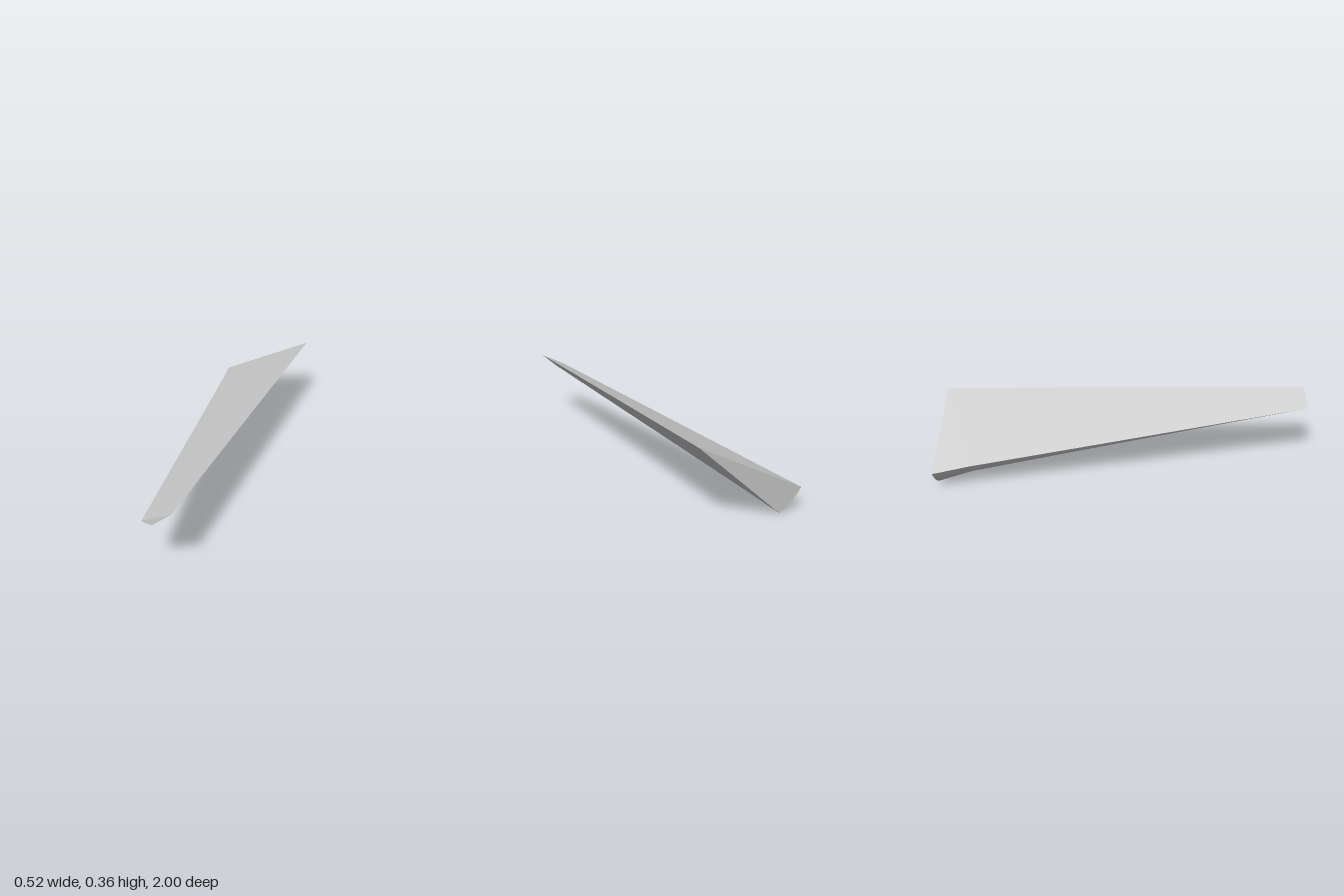
import * as THREE from 'three';
import { toCreasedNormals } from 'three/addons/utils/BufferGeometryUtils.js';

const RIDGE = [0.261, 0.364]; // sharp straight edge shared by every section
const STEPS = 8;

// Cross-sections: z, upper corner, bulge control point, lower corner
const SECTIONS = [
  [-1, [-0.262, 0.103], [-0.224, 0.044], [-0.15, 0]],
  [-0.82, [-0.221, 0.124], [-0.188, 0.07], [-0.107, 0.039]],
  [1, [0.122, 0.295], [0.138, 0.285], [0.172, 0.286]],
];

// Closed ring, counter-clockwise seen from +z: ridge, then the rounded outer edge
function ring([z, upper, control, lower]) {
  const curve = new THREE.QuadraticBezierCurve(
    new THREE.Vector2(...upper), new THREE.Vector2(...control), new THREE.Vector2(...lower));
  return [new THREE.Vector2(...RIDGE), ...curve.getPoints(STEPS)].map(p => [p.x, p.y, z]);
}

function loftGeometry(rings) {
  const positions = [];
  const tri = (a, b, c) => positions.push(...a, ...b, ...c);
  const n = rings[0].length;

  // Skin between neighbouring sections
  for (let i = 0; i < rings.length - 1; i++) {
    const back = rings[i], front = rings[i + 1];
    for (let j = 0; j < n; j++) {
      const k = (j + 1) % n;
      tri(back[j], back[k], front[k]);
      tri(back[j], front[k], front[j]);
    }
  }

  // End caps fan out from the ridge
  const first = rings[0], last = rings[rings.length - 1];
  for (let j = 1; j < n - 1; j++) {
    tri(first[0], first[j + 1], first[j]);
    tri(last[0], last[j], last[j + 1]);
  }

  const geometry = new THREE.BufferGeometry();
  geometry.setAttribute('position', new THREE.Float32BufferAttribute(positions, 3));
  return toCreasedNormals(geometry, Math.PI / 7);
}

export function createModel() {
  const group = new THREE.Group();
  group.name = 'taperedWedge';
  const blade = new THREE.Mesh(
    loftGeometry(SECTIONS.map(ring)),
    new THREE.MeshStandardMaterial({ color: 0xcccccc }));
  blade.name = 'wedgeBlade';
  group.add(blade);
  return group;
}
